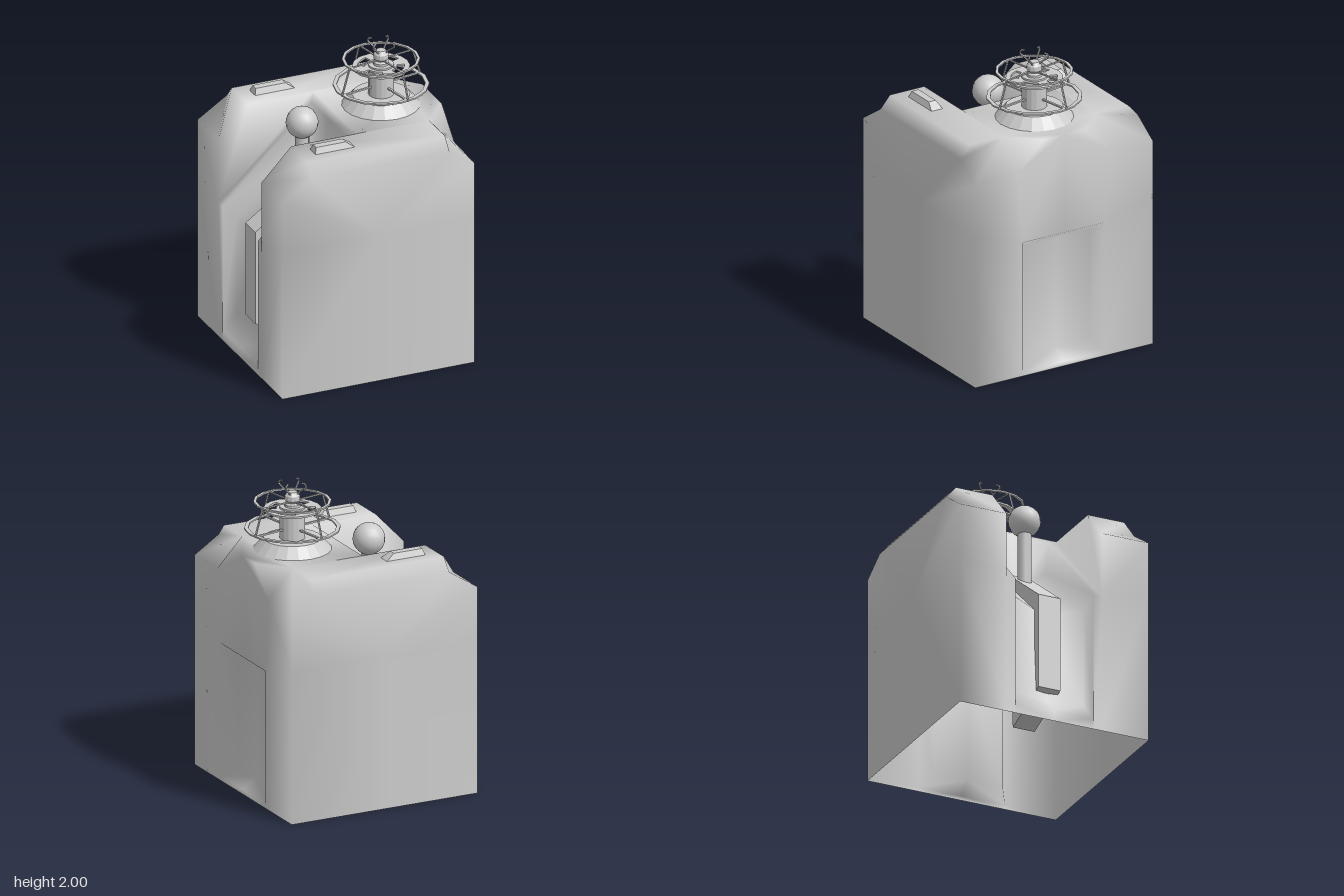
import * as THREE from 'three';
import { mergeVertices } from 'three/addons/utils/BufferGeometryUtils.js';

const smooth = new THREE.MeshStandardMaterial({ color: 0xcccccc, side: THREE.DoubleSide });
const flat = new THREE.MeshStandardMaterial({ color: 0xcccccc, flatShading: true, side: THREE.DoubleSide });
const v = (x, y, z = 0) => new THREE.Vector3(x, y, z);

function add(parent, name, geometry, material = flat, x = 0, y = 0, z = 0) {
  const mesh = new THREE.Mesh(geometry, material);
  mesh.name = name;
  mesh.position.set(x, y, z);
  parent.add(mesh);
  return mesh;
}

// Body shell: panels of the +z half, each mirrored, all welded smooth; open underneath.
function bodyGeometry() {
  const pos = [];
  // A panel faces towards the eye point.
  const panel = (eye, ...pts) => {
    const n = v(0, 0);
    pts.forEach((a, i) => n.add(a.clone().cross(pts[(i + 1) % pts.length])));
    if (n.dot(eye.clone().sub(pts[0])) < 0) pts.reverse();
    for (let i = 1; i < pts.length - 1; i++) {
      const [a, b, c] = [pts[0], pts[i], pts[i + 1]];
      for (const q of [a, b, c]) pos.push(q.x, q.y, q.z);
      for (const q of [a, c, b]) pos.push(q.x, q.y, -q.z);
    }
  };
  const centre = (p) => v(p.x, p.y);
  const ground = (p) => v(p.x, 0, p.z);
  const W = 0.65, T = 1.56;
  const left = v(9, 1), right = v(-9, 1), side = v(0, 1, 9), above = v(0, 9, 0);

  // corners and top edges
  const backShoulder = v(-W, 1, W), frontShoulder = v(W, 1, W), mid = v(0, 1, W);
  const backCorner = v(-W, 1.35, W), frontCorner = v(W, 1.37, W);
  const backLow = v(-0.45, 1.48, W), frontLow = v(0.48, 1.48, W);
  const backTop = v(-0.45, T, 0.58), frontTop = v(0.48, T, 0.58);
  // channel rim, and the wedge carrying the tower to the edge
  const rimLow = v(-W, 1.35, 0.33), rimTop = v(-0.45, T, 0.33);
  const rampLow = v(-W, 0.92, 0.33), rampTop = v(-0.01, T, 0.33);
  const wedgeIn = v(0.48, T, 0.34), wedgeLow = v(W, 1.38, 0.34), wedgeOut = v(W, T, 0.15);

  // long side
  panel(side, ground(backCorner), ground(mid), mid, backShoulder);
  panel(side, ground(mid), ground(frontCorner), frontShoulder, mid);
  panel(side, mid, frontShoulder, frontCorner, frontLow, backLow, backCorner, backShoulder);
  // chamfers and top
  panel(side, backLow, frontLow, frontTop, backTop);
  panel(above, rimLow, backCorner, backLow, backTop, rimTop);
  panel(above, wedgeIn, frontTop, frontLow, frontCorner, wedgeLow);
  panel(side, wedgeIn, wedgeLow, wedgeOut);
  panel(above, wedgeIn, wedgeOut, centre(wedgeOut), centre(wedgeIn));
  panel(above, rimTop, backTop, frontTop, wedgeIn, rampTop);
  panel(above, rampTop, wedgeIn, centre(wedgeIn), centre(rampTop));

  // channel: upright walls, sloping ledge, then a trough down to the foot
  const inChannel = v(-0.7, 1.4);
  const footOut = v(-W, 0.07, 0.27), bendOut = v(-W, 0.92, 0.27), headOut = v(-0.05, 1.52, 0.26);
  const footIn = v(-0.57, 0.18, 0.24), bendIn = v(-0.57, 0.84, 0.24), headIn = v(-0.12, 1.27, 0.2);
  const footMid = v(-0.54, 0.18), bendMid = v(-0.5, 0.78), headMid = v(-0.11, 1.12);
  panel(right, ground(rampLow), ground(backCorner), backShoulder, rampLow);
  panel(right, rampLow, backShoulder, backCorner, rimLow);
  panel(right, ground(footOut), ground(rampLow), rampLow, bendOut, footOut);
  panel(right, ground(centre(footOut)), ground(footOut), footOut, centre(footOut));
  panel(inChannel, rampLow, rimLow, rimTop, rampTop);
  panel(inChannel, rampLow, rampTop, headOut, bendOut);
  panel(inChannel, rampTop, centre(rampTop), centre(headOut), headOut);
  panel(inChannel, footOut, bendOut, bendIn, footIn);
  panel(inChannel, bendOut, headOut, headIn, bendIn);
  panel(inChannel, centre(footOut), footOut, footIn, footMid);
  panel(inChannel, headOut, centre(headOut), headMid, headIn);
  panel(inChannel, footIn, bendIn, bendMid, footMid);
  panel(inChannel, bendIn, headIn, headMid, bendMid);

  // niche in the opposite face
  const inNiche = v(0.7, 0.5);
  const lowOut = v(W, 0.03, 0.3), highOut = v(W, 0.9, 0.3);
  const lowIn = v(0.56, 0.1, 0.24), highIn = v(0.56, 0.83, 0.24);
  panel(left, ground(lowOut), ground(frontCorner), frontShoulder, highOut, lowOut);
  panel(left, highOut, frontShoulder, frontCorner, wedgeLow);
  panel(left, centre(highOut), highOut, wedgeLow, wedgeOut, centre(wedgeOut));
  panel(left, ground(centre(lowOut)), ground(lowOut), lowOut, centre(lowOut));
  panel(inNiche, lowOut, highOut, highIn, lowIn);
  panel(inNiche, centre(highOut), highOut, highIn, centre(highIn));
  panel(inNiche, centre(lowOut), lowOut, lowIn, centre(lowIn));
  panel(inNiche, centre(lowIn), lowIn, highIn, centre(highIn));

  const g = new THREE.BufferGeometry();
  g.setAttribute('position', new THREE.Float32BufferAttribute(pos, 3));
  const welded = mergeVertices(g, 1e-4);
  welded.computeVertexNormals();
  return welded;
}

// Tapered pad: long profile along x, narrowing upwards.
function padGeometry() {
  const g = new THREE.BoxGeometry(1, 1, 1);
  const p = g.attributes.position;
  for (let i = 0; i < p.count; i++) {
    const up = p.getY(i) > 0, end = p.getX(i) > 0;
    p.setXYZ(i, end ? (up ? -0.15 : -0.08) : (up ? -0.35 : -0.365),
      up ? 1.6 : 1.55, Math.sign(p.getZ(i)) * (up ? 0.025 : 0.045));
  }
  g.computeVertexNormals();
  return g;
}

// Flat ring, lying horizontally, with optional arc slots.
function flatRing(outer, inner, depth, slots = 0) {
  const s = new THREE.Shape().absarc(0, 0, outer, 0, Math.PI * 2);
  s.holes.push(new THREE.Path().absarc(0, 0, inner, 0, Math.PI * 2, true));
  for (let i = 0; i < slots; i++) {
    const a = (i / slots) * Math.PI * 2 + 0.3, b = a + 0.95;
    s.holes.push(new THREE.Path().absarc(0, 0, 0.145, a, b).absarc(0, 0, 0.1, b, a, true));
  }
  return new THREE.ExtrudeGeometry(s, { depth, bevelEnabled: false, curveSegments: 8 }).rotateX(-Math.PI / 2);
}

function rod(radius, ...pts) {
  const path = new THREE.CurvePath();
  for (let i = 1; i < pts.length; i++) path.add(new THREE.LineCurve3(pts[i - 1], pts[i]));
  return new THREE.TubeGeometry(path, (pts.length - 1) * 3, radius, 5);
}

function tower() {
  const t = new THREE.Group();
  t.name = 'tower';
  const lathe = (points, sides) => new THREE.LatheGeometry(points.map((p) => new THREE.Vector2(...p)), sides);
  add(t, 'towerBase', lathe([[0.25, 1.555], [0.18, 1.63], [0, 1.63]], 20));
  add(t, 'post', new THREE.CylinderGeometry(0.08, 0.08, 0.21, 16), flat, 0, 1.73);
  add(t, 'slottedDisc', flatRing(0.18, 0.05, 0.012, 4), flat, 0, 1.812);
  add(t, 'lowerRing', flatRing(0.3, 0.275, 0.01), flat, 0, 1.69);
  add(t, 'upperRing', flatRing(0.243, 0.225, 0.01), flat, 0, 1.862);
  add(t, 'hub', lathe([[0.05, 1.82], [0.05, 1.85], [0.035, 1.86], [0.048, 1.875], [0.048, 1.905], [0.03, 1.93], [0, 1.93]], 12));
  // cage struts, spokes and hooked prongs, four of each
  for (let i = 0; i < 4; i++) {
    const arm = new THREE.Group();
    arm.name = 'cageArm';
    arm.rotation.y = 0.19 + (i * Math.PI) / 2;
    add(arm, 'strut', rod(0.007, v(0.295, 1.69), v(0.235, 1.872)));
    add(arm, 'lowerSpoke', new THREE.BoxGeometry(0.24, 0.01, 0.014), flat, 0.165, 1.695);
    add(arm, 'upperSpoke', new THREE.BoxGeometry(0.2, 0.008, 0.01), flat, 0.14, 1.866);
    t.add(arm);
    const prong = add(t, 'prong', rod(0.006, v(0.025, 1.91), v(0.055, 1.94), v(0.095, 1.97), v(0.09, 1.99), v(0.065, 1.994)));
    prong.rotation.y = 0.65 + (i * Math.PI) / 2;
  }
  t.position.x = 0.305;
  return t;
}

export function createModel() {
  const model = new THREE.Group();
  model.name = 'tank';
  add(model, 'body', bodyGeometry(), smooth);
  for (const z of [-0.46, 0.46]) add(model, 'topPad', padGeometry(), flat, 0, 0, z);

  // lever: slab in the trough, neck and ball
  const slab = new THREE.Shape([v(-0.58, 0.25), v(-0.22, 0.12), v(-0.14, 1.2), v(-0.58, 0.88)]);
  add(model, 'leverSlab', new THREE.ExtrudeGeometry(slab, { depth: 0.15, bevelEnabled: false }), flat, 0, 0, -0.075);
  add(model, 'leverNeck', new THREE.CylinderGeometry(0.045, 0.045, 0.45, 10), smooth, -0.23, 1.28);
  add(model, 'leverBall', new THREE.SphereGeometry(0.102, 16, 12), smooth, -0.23, 1.537);

  model.add(tower());
  return model;
}
